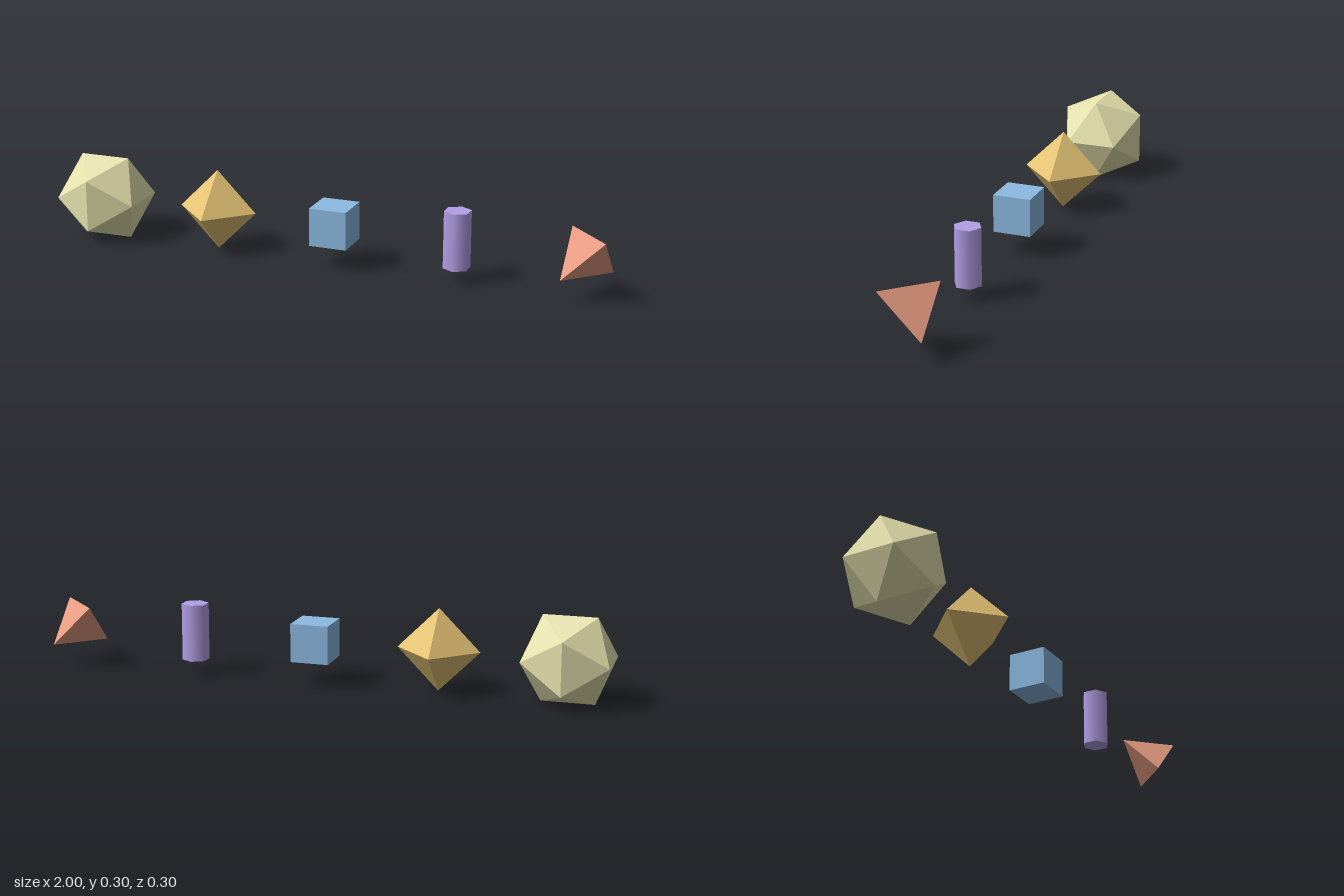
import * as THREE from 'three';

export function createModel() {
  const group = new THREE.Group();
  const centreY = 0.151;

  // Each solid floats with its centre on one line along x
  const addSolid = (name, geometry, x, color, flatShading = true) => {
    const material = new THREE.MeshStandardMaterial({ color, flatShading });
    const mesh = new THREE.Mesh(geometry, material);
    mesh.name = name;
    mesh.position.set(x, centreY, 0);
    group.add(mesh);
  };

  addSolid('icosahedron', new THREE.IcosahedronGeometry(0.175), -0.851, 0xe6e2ae);
  addSolid('octahedron', new THREE.OctahedronGeometry(0.1446), -0.406, 0xe6c375);
  addSolid('cube', new THREE.BoxGeometry(0.135, 0.135, 0.135), 0.035, 0x8cbae2);
  // Six-sided column with smooth sides
  addSolid('hexagonalColumn', new THREE.CylinderGeometry(0.048, 0.048, 0.2025, 6), 0.479, 0xb4a0e8, false);
  addSolid('tetrahedron', new THREE.TetrahedronGeometry(0.126), 0.927, 0xe89c82);

  return group;
}
